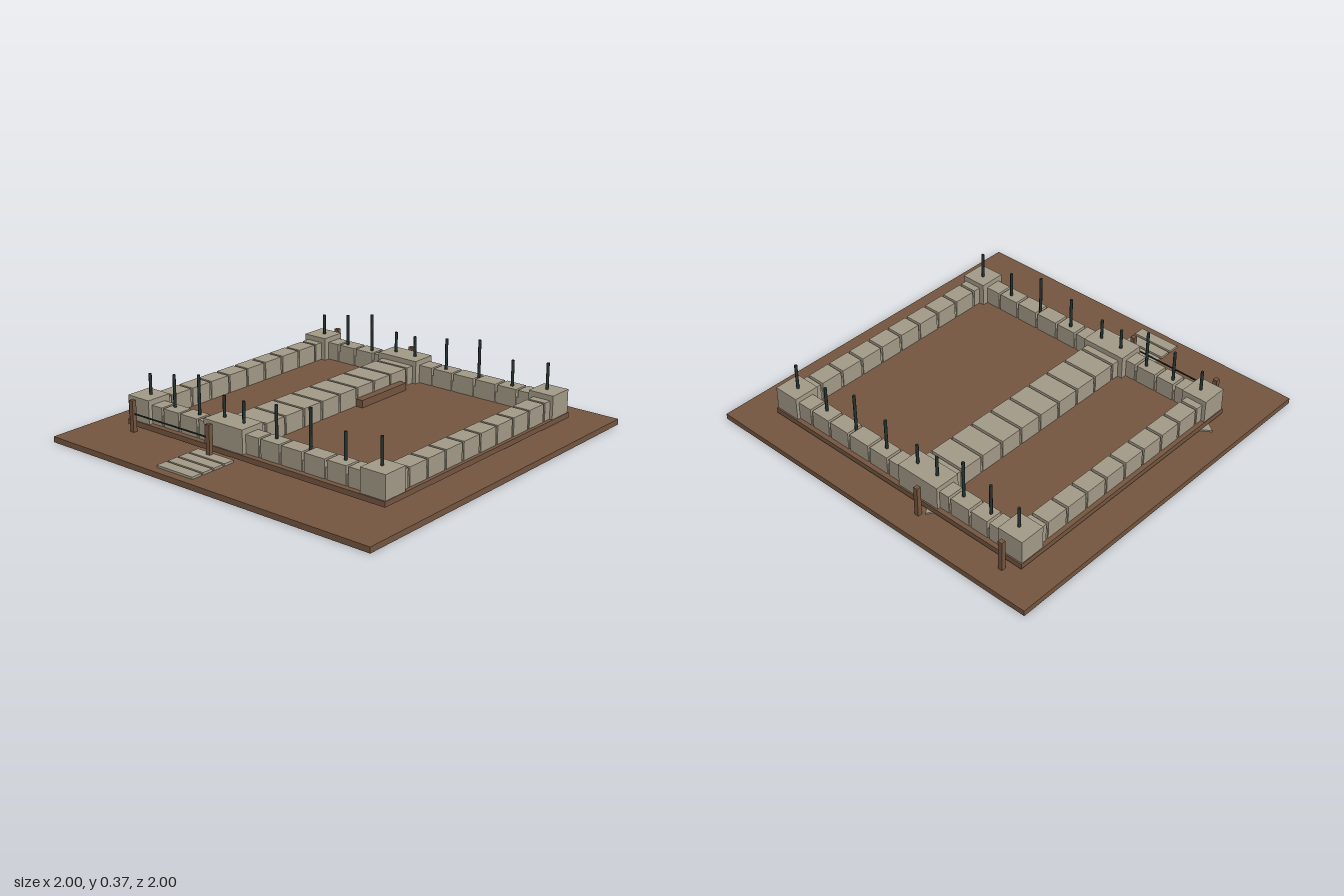
import * as THREE from 'three';

export function createModel() {
  const group = new THREE.Group();
  group.name = 'foundationRuin';
  const mat = (name, color) => {
    const m = new THREE.MeshStandardMaterial({ color });
    m.name = name;
    return m;
  };
  const earth = mat('earthBrown', 0x755640);
  const stone = mat('paleStone', 0xa49b88);
  const iron = mat('darkIron', 0x26322f);

  const add = (name, geo, material, x, y, z) => {
    const m = new THREE.Mesh(geo, material);
    m.name = name;
    m.position.set(x, y, z);
    group.add(m);
    return m;
  };
  // box given by its limits on each axis
  const box = (name, material, x0, x1, y0, y1, z0, z1) =>
    add(name, new THREE.BoxGeometry(x1 - x0, y1 - y0, z1 - z0), material,
      (x0 + x1) / 2, (y0 + y1) / 2, (z0 + z1) / 2);

  const GROUND = 0.03, FLOOR = 0.07, CORE = 0.125, WALL = 0.167, TOWER = 0.195;
  const GAP = 0.007; // half the joint between blocks

  // ground and stepped base
  box('ground', earth, -1, 1, 0, GROUND, -1, 1);
  box('lowerBase', earth, -0.8, 0.785, GROUND, 0.042, -0.8, 0.635);
  box('base', earth, -0.827, 0.811, 0.042, FLOOR, -0.828, 0.663);

  // row of blocks over a slightly narrower core, with open joints at the top
  const row = (name, axis, start, end, joints, lo, hi) => {
    const piece = (n, a, b, inset, top) => axis === 'x'
      ? box(n, stone, a, b, FLOOR, top, lo + inset, hi - inset)
      : box(n, stone, lo + inset, hi - inset, FLOOR, top, a, b);
    piece(name + 'Core', start, end, 0.006, CORE);
    const stops = [start - GAP, ...joints, end + GAP];
    for (let i = 0; i < stops.length - 1; i++) {
      piece(name + 'Block', stops[i] + GAP, stops[i + 1] - GAP, 0, WALL);
    }
  };

  // front and back walls
  for (const [name, z0, z1] of [['backWall', -0.803, -0.712], ['frontWall', 0.546, 0.634]]) {
    row(name, 'x', -0.68, -0.3, [-0.605, -0.49, -0.364], z0, z1);
    row(name, 'x', -0.048, 0.664, [0.04, 0.169, 0.308, 0.445, 0.573], z0, z1);
  }

  // side walls and the double middle wall
  const sideJoints = Array.from({ length: 9 }, (_, i) => -0.628 + i * 0.137);
  row('rightWall', 'z', -0.68, 0.514, sideJoints, -0.803, -0.707);
  row('leftWall', 'z', -0.68, 0.514, sideJoints, 0.692, 0.792);
  row('middleWall', 'z', -0.68, 0.514, sideJoints, -0.273, -0.07);

  // taller corner and junction blocks
  for (const [z0, z1] of [[-0.82, -0.68], [0.514, 0.657]]) {
    for (const [x0, x1] of [[-0.824, -0.68], [-0.3, -0.048], [0.664, 0.808]]) {
      box('pier', stone, x0, x1, FLOOR, TOWER, z0, z1);
    }
  }

  // iron rods standing in the front and back walls: x and top height
  const rods = [[-0.743, 0.305], [-0.573, 0.335], [-0.403, 0.37], [-0.235, 0.305], [-0.108, 0.305],
    [0.1, 0.335], [0.31, 0.37], [0.518, 0.305], [0.727, 0.335]];
  for (const z of [-0.75, 0.58]) {
    for (const [x, top] of rods) {
      const h = top - 0.11;
      add('rod', new THREE.CylinderGeometry(0.008, 0.008, h, 8), iron, x, 0.11 + h / 2, z);
    }
  }

  // timber posts, with a thin rail between the front pair
  for (const z of [-0.872, 0.698]) {
    for (const x of [-0.75, -0.225]) {
      box('post', earth, x - 0.012, x + 0.012, GROUND, TOWER, z - 0.012, z + 0.012);
    }
  }
  box('rail', iron, -0.738, -0.237, 0.122, 0.128, 0.695, 0.701);

  // bench beside the middle wall
  box('bench', earth, -0.07, -0.027, 0.06, 0.11, -0.572, -0.208);

  // paving slabs in front of the entrance
  for (let i = 0; i < 4; i++) {
    const z = 0.711 + i * 0.0715;
    box('pavingSlab', stone, -0.318, -0.085, GROUND, 0.042, z - 0.03, z + 0.03);
  }

  // flat stone chips poking out from under the base
  const chip = (x, z, turn) => {
    const s = new THREE.Shape([new THREE.Vector2(-0.037, -0.03),
      new THREE.Vector2(0.037, -0.03), new THREE.Vector2(0, 0.024)]);
    const geo = new THREE.ExtrudeGeometry(s, { depth: 0.008, bevelEnabled: false });
    geo.rotateX(-Math.PI / 2);
    add('stoneChip', geo, stone, x, GROUND, z).rotation.y = turn;
  };
  chip(-0.252, -0.828, 0);
  chip(-0.848, 0.523, Math.PI / 2);

  return group;
}
